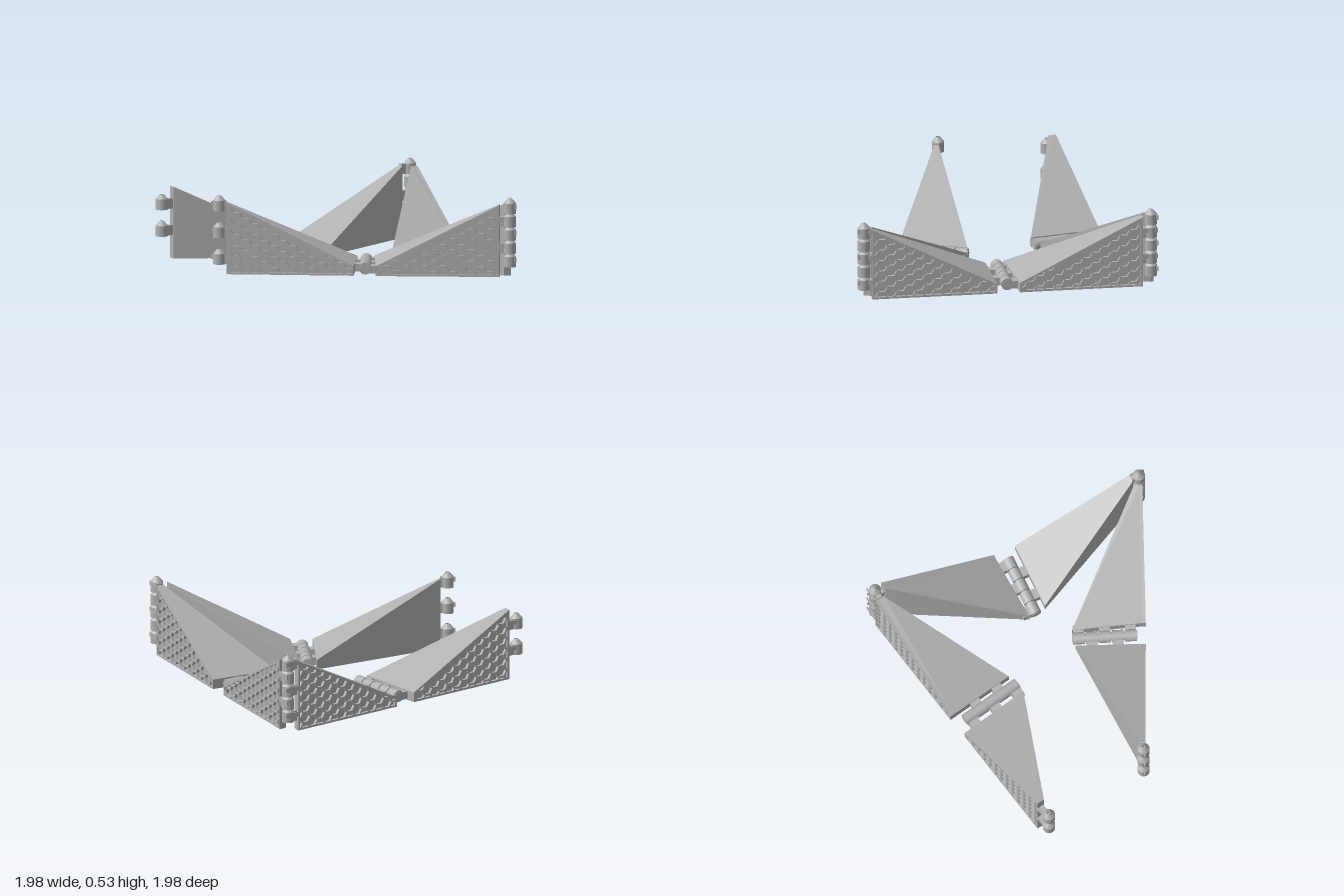
import * as THREE from 'three';
import { toCreasedNormals } from 'three/addons/utils/BufferGeometryUtils.js';
import { ConvexGeometry } from 'three/addons/geometries/ConvexGeometry.js';

const V3 = (x, y, z) => new THREE.Vector3(x, y, z);
const HIGH = 0.475, LOW = 0.065; // wedge height at the post end and at the floor hinge
const DEPTH = 0.02;              // honeycomb recess
const R = 0.04;                  // knuckle radius
const PITCH = 0.088;             // knuckle spacing

// Plan of each wedge as [x, z]: post end (outer, inner), floor hinge end (outer, inner)
const wedges = [
  { post: 0, floor: 0, po: [-0.87, -0.8], pi: [-0.87, -0.75], qo: [-0.075, -0.88], qi: [-0.02, -0.4] },
  { post: 1, floor: 0, po: [0.89, -0.983], pi: [0.88, -0.92], qo: [0.07, -0.9], qi: [0.115, -0.43] },
  { post: 1, floor: 1, po: [0.975, -0.89], pi: [0.925, -0.885], qo: [0.89, -0.08], qi: [0.405, -0.1] },
  { post: 2, floor: 1, po: [0.785, 0.89], pi: [0.735, 0.885], qo: [0.875, 0.07], qi: [0.415, 0.025] },
  { post: 2, floor: 2, po: [0.68, 0.925], pi: [0.71, 0.88], qo: [-0.025, 0.53], qi: [0.18, 0.09] },
  { post: 3, floor: 2, po: [-0.865, 0.025], pi: [-0.85, 0.0], qo: [-0.15, 0.455], qi: [0.075, 0.055] },
];
const posts = [[-0.95, -0.76], [0.95, -0.95], [0.75, 0.94], [-0.9, -0.01]];
const floors = [
  [[0.008, -0.83], [0.05, -0.4]],
  [[0.4, -0.052], [0.83, -0.012]],
  [[0.135, 0.065], [-0.06, 0.445]],
];

// Clip a convex polygon by the inside of another, kept a margin away from its edges
function clip(poly, frame, margin) {
  const sign = THREE.ShapeUtils.area(frame) > 0 ? 1 : -1;
  frame.forEach((a, i) => {
    const b = frame[(i + 1) % frame.length];
    const n = new THREE.Vector2(a.y - b.y, b.x - a.x).normalize().multiplyScalar(sign);
    const dist = p => n.dot(p.clone().sub(a)) - margin;
    const out = [];
    poly.forEach((p, j) => {
      const q = poly[(j + 1) % poly.length], dp = dist(p), dq = dist(q);
      if (dp >= 0) out.push(p);
      if (dp * dq < 0) out.push(p.clone().lerp(q, dp / (dp - dq)));
    });
    poly = out;
  });
  return poly;
}

// Plate pierced by hexagons; its outer face lies on the given points
function honeycomb(pts, outward) {
  const u = pts[1].clone().sub(pts[0]).normalize();
  const w = outward.clone().normalize();
  const v = w.clone().cross(u);
  const flat = pts.map(p => {
    const d = p.clone().sub(pts[0]);
    return new THREE.Vector2(d.dot(u), d.dot(v));
  });
  const shape = new THREE.Shape(flat);
  const box = new THREE.Box2().setFromPoints(flat);
  const row = 0.0715, col = row * 0.866, hexR = 0.035;
  for (let i = Math.floor(box.min.x / col); i * col < box.max.x + hexR; i++) {
    for (let j = Math.floor(box.min.y / row) - 1; j * row < box.max.y + row; j++) {
      const cx = i * col, cy = (j + 0.6 + (i & 1) * 0.5) * row;
      const hex = [0, 1, 2, 3, 4, 5].map(k => new THREE.Vector2(
        cx + hexR * Math.cos(k * Math.PI / 3), cy + hexR * Math.sin(k * Math.PI / 3)));
      const hole = clip(hex, flat, 0.013);
      if (hole.length > 2 && Math.abs(THREE.ShapeUtils.area(hole)) > 0.0003) shape.holes.push(new THREE.Path(hole));
    }
  }
  const geo = new THREE.ExtrudeGeometry(shape, { depth: DEPTH, bevelEnabled: false });
  const origin = pts[0].clone().addScaledVector(w, -DEPTH);
  return geo.applyMatrix4(new THREE.Matrix4().makeBasis(u, v, w).setPosition(origin));
}

// Horizontal bar between two points in plan
function bar([ax, az], [bx, bz], y, height, width) {
  const geo = new THREE.BoxGeometry(Math.hypot(bx - ax, bz - az), height, width);
  geo.rotateY(-Math.atan2(bz - az, bx - ax));
  return geo.translate((ax + bx) / 2, y, (az + bz) / 2);
}

const mix = (a, b, t) => [a[0] + (b[0] - a[0]) * t, a[1] + (b[1] - a[1]) * t];

export function createModel() {
  const model = new THREE.Group();
  const grey = new THREE.MeshStandardMaterial({ color: 0xb0b0b0 });
  grey.name = 'grey';
  const add = (parent, name, geo) => {
    const mesh = new THREE.Mesh(geo, grey);
    mesh.name = name;
    parent.add(mesh);
    return mesh;
  };

  const knuckleGeo = toCreasedNormals(new THREE.LatheGeometry([
    [0.013, 0], [R, 0], [R, 0.07], [0.014, 0.1], [0.013, 0.1], [0.013, 0],
  ].map(p => new THREE.Vector2(...p)), 24), 0.5);

  // Wedges: solid core with honeycomb on the outer wall and underside
  wedges.forEach((t, index) => {
    const wedge = new THREE.Group();
    wedge.name = 'wedge' + (index + 1);
    model.add(wedge);
    const at = (p, y) => V3(p[0], y, p[1]);
    const along = at(t.qo, 0).sub(at(t.po, 0)).normalize();
    const out = along.clone().cross(V3(0, 1, 0));
    if (out.dot(at(t.qi, 0).sub(at(t.qo, 0))) > 0) out.negate();
    const inset = p => [p[0] - out.x * DEPTH, p[1] - out.z * DEPTH];
    const po = inset(t.po), qo = inset(t.qo);

    add(wedge, 'wedgeCore', new ConvexGeometry([
      [po, HIGH], [t.pi, HIGH], [t.qi, LOW], [qo, LOW],
    ].flatMap(([p, top]) => [at(p, DEPTH), at(p, top)])));
    add(wedge, 'outerWall', honeycomb([at(t.po, 0), at(t.qo, 0), at(t.qo, LOW), at(t.po, HIGH)], out));
    add(wedge, 'underside', honeycomb([at(po, 0), at(qo, 0), at(t.qi, 0), at(t.pi, 0)], V3(0, -1, 0)));

    // Post knuckles, alternating between neighbouring wedges
    const axis = posts[t.post];
    const root = mix(t.po, t.pi, 0.5);
    const tip = [t.po[0] - along.x * 0.1 - out.x * 0.005, t.po[1] - along.z * 0.1 - out.z * 0.005];
    for (let k = index % 2 ? 0 : 1; k < 5; k += 2) {
      const y = 0.065 + k * PITCH;
      add(wedge, 'postKnuckle', knuckleGeo).position.set(axis[0], y, axis[1]);
      add(wedge, 'postBridge', bar(root, axis, y + 0.035, 0.066, 0.035).translate(0, 0, 0));
      add(wedge, 'postTab', bar(t.po, tip, y + 0.05, 0.03, 0.008));
    }

    // Bridges to the floor hinge knuckles
    const [a, b] = floors[t.floor];
    const len = Math.hypot(b[0] - a[0], b[1] - a[1]);
    const normal = [-(b[1] - a[1]) / len, (b[0] - a[0]) / len];
    const side = Math.sign((t.po[0] - a[0]) * normal[0] + (t.po[1] - a[1]) * normal[1]);
    for (let k = index % 2; k < 5; k += 2) {
      const c = mix(a, b, (k + 0.5) / 5);
      const edge = [c[0] + normal[0] * side * 0.085, c[1] + normal[1] * side * 0.085];
      add(wedge, 'floorBridge', bar(c, edge, 0.033, 0.05, 0.07));
    }
  });

  // Pins through the two closed posts
  [1, 2].forEach(i => {
    const [x, z] = posts[i];
    add(model, 'postPin', new THREE.CylinderGeometry(0.013, 0.013, 0.44, 16)).position.set(x, 0.285, z);
    add(model, 'pinTip', new THREE.ConeGeometry(0.016, 0.02, 20)).position.set(x, 0.516, z);
  });

  // Floor hinges: five barrels on a thin pin
  floors.forEach(([a, b]) => {
    const hinge = new THREE.Group();
    hinge.name = 'floorHinge';
    model.add(hinge);
    const dir = V3(b[0] - a[0], 0, b[1] - a[1]);
    const length = dir.length();
    const turn = new THREE.Quaternion().setFromUnitVectors(V3(0, 1, 0), dir.normalize());
    const rod = (name, r, l, t) => {
      const c = mix(a, b, t);
      const mesh = add(hinge, name, new THREE.CylinderGeometry(r, r, l, 20));
      mesh.position.set(c[0], R, c[1]);
      mesh.quaternion.copy(turn);
    };
    rod('hingePin', 0.028, length, 0.5);
    for (let k = 0; k < 5; k++) rod('hingeBarrel', R, length / 5 - 0.008, (k + 0.5) / 5);
  });

  return model;
}
